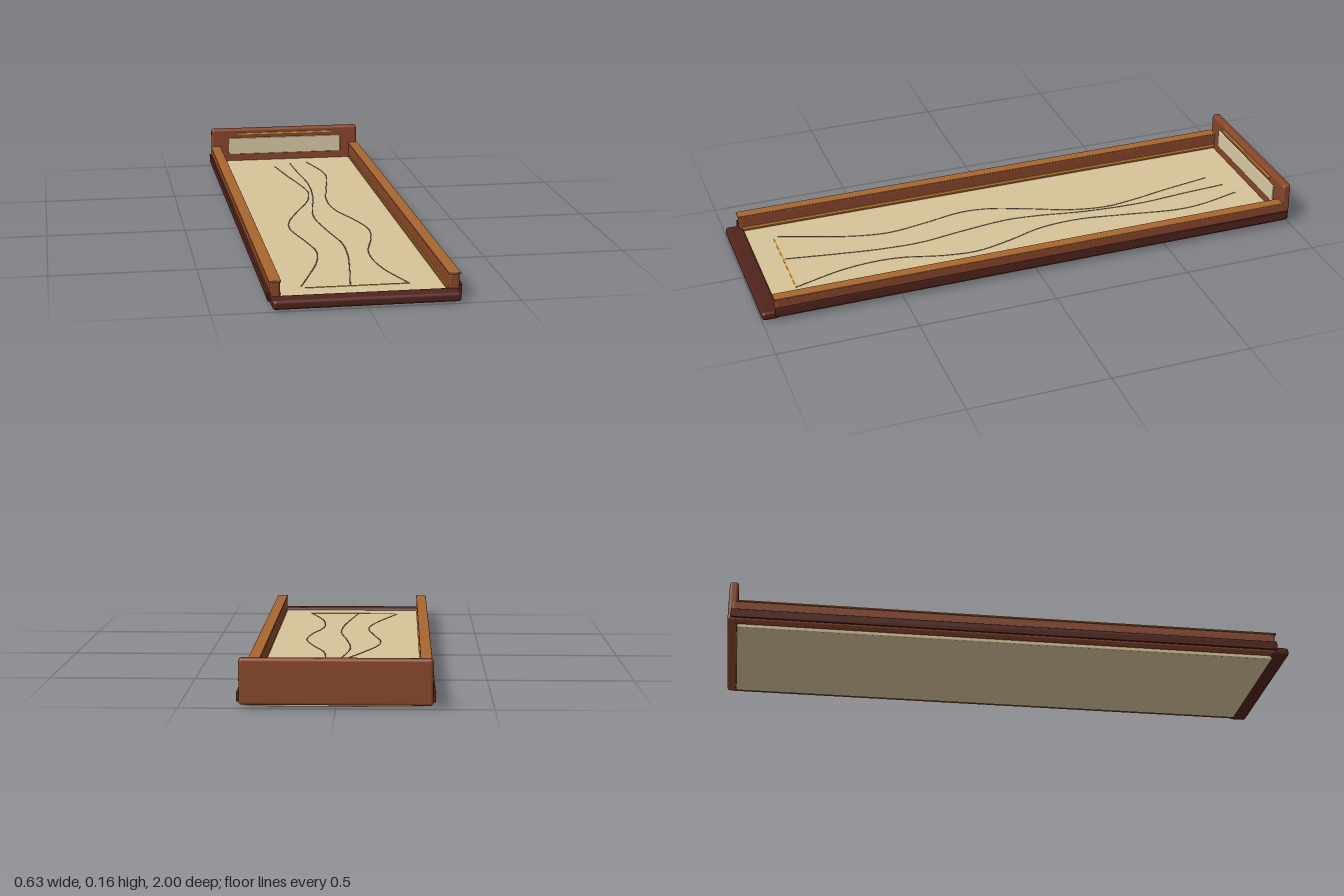
import * as THREE from 'three';
import { RoundedBoxGeometry } from 'three/addons/geometries/RoundedBoxGeometry.js';

const mat = (color) => new THREE.MeshStandardMaterial({ color });
const wood = mat(0x87452b), darkWood = mat(0x50231b), capWood = mat(0xa8652f);
const cream = mat(0xd6c298), inlay = mat(0xd8c8a6), gold = mat(0xe0a030), groove = mat(0x75664a);

// Box given by its [min, max] range on each axis; r rounds its edges
function block(name, material, [x0, x1], [y0, y1], [z0, z1], r = 0) {
  const w = x1 - x0, h = y1 - y0, d = z1 - z0;
  const geometry = r ? new RoundedBoxGeometry(w, h, d, 3, r) : new THREE.BoxGeometry(w, h, d);
  const mesh = new THREE.Mesh(geometry, material);
  mesh.name = name;
  mesh.position.set((x0 + x1) / 2, (y0 + y1) / 2, (z0 + z1) / 2);
  return mesh;
}

export function createModel() {
  const model = new THREE.Group();
  model.name = 'laneTray';

  // Playing surface and front bumper
  model.add(block('floor', cream, [-0.273, 0.273], [0, 0.026], [-0.967, 0.945], 0.004));
  model.add(block('frontBar', darkWood, [-0.305, 0.305], [0.004, 0.036], [0.937, 1], 0.012));

  // Tall back board with its inlay and gold bar
  model.add(block('backBoard', wood, [-0.307, 0.307], [0.01, 0.16], [-1, -0.968], 0.01));
  model.add(block('backInlay', inlay, [-0.236, 0.236], [0.053, 0.122], [-0.972, -0.964], 0.003));
  model.add(block('backGoldBar', gold, [-0.2, 0.2], [0.137, 0.142], [-0.972, -0.962]));

  // Side rails, each with a cap, an outer strip and a thin inner trim
  for (const side of [1, -1]) {
    const label = side > 0 ? 'left' : 'right';
    const range = (a, b) => (side > 0 ? [a, b] : [-b, -a]);
    model.add(block(label + 'Rail', wood, range(0.273, 0.308), [0.01, 0.084], [-0.988, 0.95], 0.008));
    model.add(block(label + 'RailCap', capWood, range(0.271, 0.311), [0.082, 0.088], [-0.97, 0.955], 0.002));
    model.add(block(label + 'OuterStrip', darkWood, range(0.306, 0.315), [0.02, 0.052], [-0.99, 0.955], 0.003));
    model.add(block(label + 'InnerTrim', gold, range(0.27, 0.275), [0.035, 0.041], [-0.965, 0.94]));
  }

  // Start line and three winding lines on the floor
  model.add(block('startLine', gold, [-0.18, 0.165], [0.025, 0.0275], [0.843, 0.848]));
  const paths = [
    [[-0.06, -0.83], [-0.03, -0.65], [0, -0.5], [0.013, -0.38], [-0.01, -0.25], [-0.07, -0.1], [-0.12, 0.04],
      [-0.13, 0.14], [-0.1, 0.3], [-0.08, 0.44], [-0.1, 0.57], [-0.15, 0.72], [-0.19, 0.83]],
    [[0.01, -0.87], [0.02, -0.7], [0.033, -0.52], [0.02, -0.3], [-0.01, -0.12], [-0.02, 0], [0, 0.18],
      [0.025, 0.35], [0.02, 0.5], [0, 0.65], [-0.03, 0.84]],
    [[0.08, -0.89], [0.12, -0.72], [0.123, -0.62], [0.09, -0.42], [0.065, -0.25], [0.075, -0.1], [0.12, 0.04],
      [0.15, 0.17], [0.14, 0.29], [0.1, 0.45], [0.095, 0.55], [0.11, 0.67], [0.165, 0.85]],
  ];
  paths.forEach((points, i) => {
    const curve = new THREE.CatmullRomCurve3(points.map(([x, z]) => new THREE.Vector3(x, 0.026, z)));
    const line = new THREE.Mesh(new THREE.TubeGeometry(curve, 100, 0.002, 6), groove);
    line.name = 'windingLine' + (i + 1);
    model.add(line);
  });

  return model;
}
